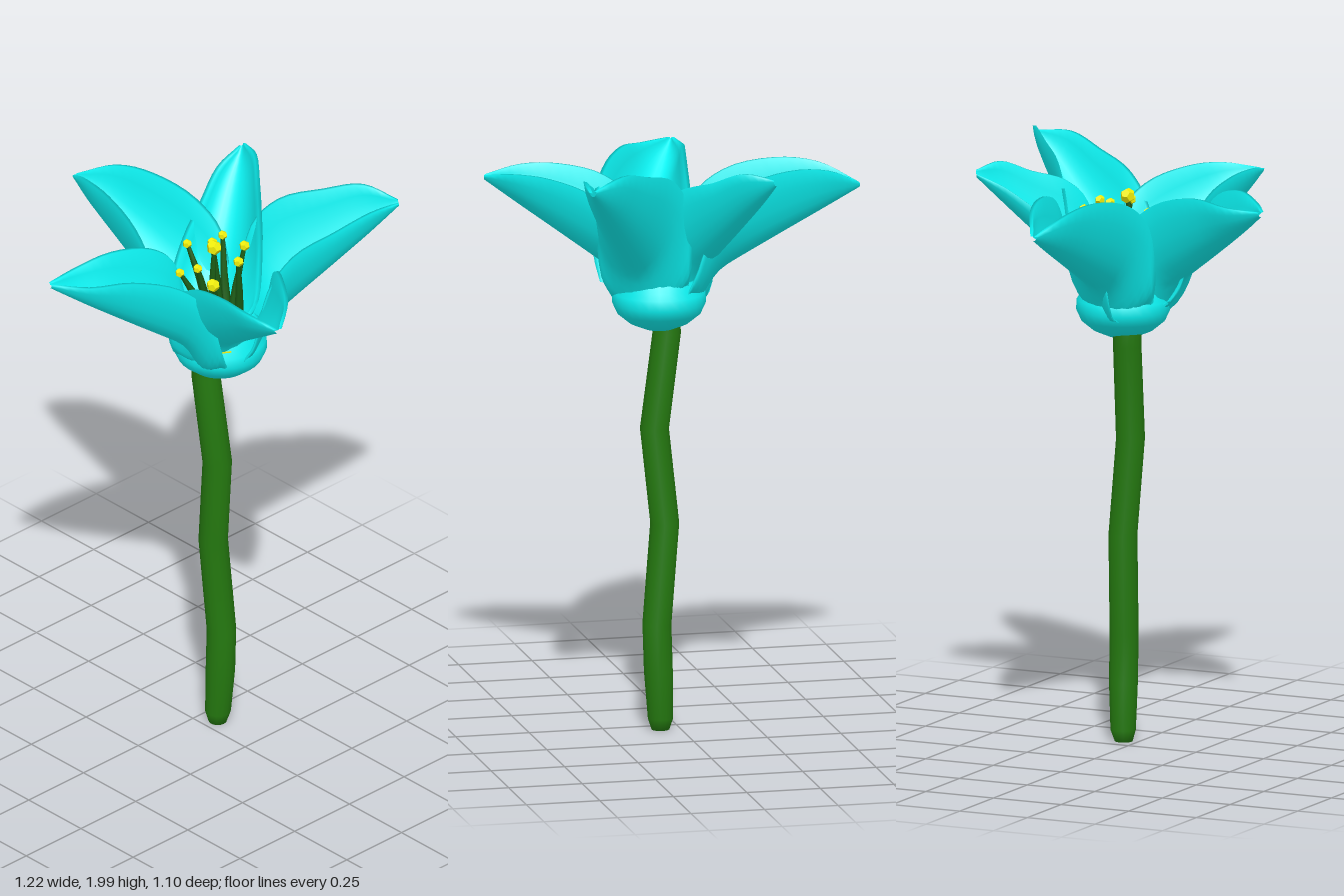
import * as THREE from 'three';

const paint = (color) => new THREE.MeshStandardMaterial({ color });
const cyan = paint(0x0cf2f2);
const green = paint(0x24780f);
const darkGreen = paint(0x1a5a14);
const yellow = paint(0xf0ee08);

// Skin a list of closed rings, each holding the same number of points
function loft(rings) {
  const n = rings[0].length;
  const index = [];
  for (let i = 0; i < rings.length - 1; i++) {
    for (let j = 0; j < n; j++) {
      const a = i * n + j, b = i * n + (j + 1) % n;
      index.push(a, a + n, b, b, a + n, b + n);
    }
  }
  const g = new THREE.BufferGeometry().setFromPoints(rings.flat());
  g.setIndex(index);
  g.computeVertexNormals();
  return g;
}

function circle(x, y, z, r, sides = 14) {
  return Array.from({ length: sides }, (_, i) => {
    const a = i / sides * Math.PI * 2;
    return new THREE.Vector3(x + r * Math.cos(a), y, z + r * Math.sin(a));
  });
}

// Trough-shaped petal: keel from base to tip, dipping into the cup, with high side edges.
// droop lowers the inner part of the edges, width scales the petal sideways,
// roll lowers one edge and raises the other, bow bends the petal sideways.
function petalGeometry({ base, tip, top, droop = 0, width = 1, roll = 0, bow = 0 }) {
  const dx = tip[0] - base[0], dz = tip[2] - base[2];
  const len = Math.hypot(dx, dz);
  const side = new THREE.Vector3(-dz / len, 0, dx / len);
  const rise = top - 1.46;
  // position along the petal, height of the edge, half width
  const keys = new THREE.CatmullRomCurve3([
    [0.07, 1.5, 0.135], [0.12, 1.46 + rise * 0.3 - droop, 0.16],
    [0.2, 1.46 + rise * 0.7 - droop, 0.165], [0.35, top - 0.04 - droop * 1.2, 0.145],
    [0.6, top - droop * 0.9, 0.11], [0.82, top - 0.015 + droop / 3, 0.073], [1, tip[1] + 0.015, 0.012],
  ].map((k) => new THREE.Vector3(...k)));
  const steps = 24, across = 12, spread = 1.3, thick = 0.012;
  const rings = [];
  for (let i = 0; i <= steps; i++) {
    const k = keys.getPoint(i / steps);
    const dip = 0.065 * Math.exp(-(((k.x - 0.15) / 0.075) ** 2));
    const keel = THREE.MathUtils.lerp(base[1], tip[1], k.x) - dip;
    const h = Math.max(k.y - keel, 0.01);
    const shift = bow * Math.sin(k.x * Math.PI);
    const at = (u, t) => {
      const a = u * spread;
      const p = new THREE.Vector3(base[0] + dx * k.x, keel, base[2] + dz * k.x);
      p.addScaledVector(side, shift + Math.max(k.z * width - t, 0.003) * Math.sin(a) / Math.sin(spread));
      p.y += t + (h - t) * (1 - Math.cos(a)) / (1 - Math.cos(spread)) - roll * u * k.z / 0.1;
      return p;
    };
    const ring = [];
    for (let j = 0; j <= across; j++) ring.push(at(j / across * 2 - 1, 0));
    for (let j = across; j >= 0; j--) ring.push(at(j / across * 2 - 1, thick));
    rings.push(ring);
  }
  return loft(rings);
}

export function createModel() {
  const flower = new THREE.Group();
  flower.name = 'flower';
  const add = (name, geometry, material, parent = flower) => {
    const m = new THREE.Mesh(geometry, material);
    m.name = name;
    parent.add(m);
    return m;
  };

  // Crooked stem
  add('stem', loft([
    [0.066, 0, -0.05, 0], [0.066, 0, -0.05, 0.03], [0.066, 0.04, -0.052, 0.043], [0.074, 0.2, -0.055, 0.049],
    [0.079, 0.36, -0.055, 0.049], [0.05, 0.7, -0.045, 0.049], [0.082, 1.02, -0.033, 0.049],
    [0.038, 1.34, -0.023, 0.048], [0.04, 1.42, -0.023, 0.048],
  ].map((r) => circle(...r))), green);

  // Rounded cup under the petals, with a thin collar inside them
  const cup = add('cup', new THREE.LatheGeometry([
    [0, 1.36], [0.05, 1.366], [0.1, 1.387], [0.14, 1.42], [0.156, 1.455],
    [0.154, 1.49], [0.14, 1.51], [0.136, 1.54], [0.128, 1.54], [0.12, 1.515], [0, 1.515],
  ].map((p) => new THREE.Vector2(...p)), 28), cyan);
  cup.position.set(0.072, 0, -0.055);

  // Yellow centre
  const disc = add('flowerCentre', new THREE.SphereGeometry(0.13, 28, 14), yellow);
  disc.scale.y = 0.5;
  disc.position.set(0.078, 1.51, -0.045);

  // Five petals
  const petals = new THREE.Group();
  petals.name = 'petals';
  flower.add(petals);
  [
    { base: [0.05, 1.46, -0.045], tip: [-0.612, 1.805, -0.045], top: 1.895 },
    { base: [0.13, 1.45, -0.02], tip: [-0.112, 1.85, 0.545], top: 1.885, bow: -0.02 },
    { base: [0.06, 1.45, -0.02], tip: [0.607, 1.843, 0.19], top: 1.89, droop: 0.015, width: 1.1 },
    { base: [0.09, 1.45, -0.06], tip: [0.413, 1.942, -0.545], top: 1.98, droop: 0.04, roll: 0.02 },
    { base: [0.045, 1.45, -0.04], tip: [-0.232, 1.92, -0.447], top: 1.92, droop: 0.06, width: 0.93, roll: -0.045 },
  ].forEach((p, i) => add('petal' + (i + 1), petalGeometry(p), cyan, petals));

  // Stamens: foot x, z, then tip x, y, z and tip radius
  const stamens = new THREE.Group();
  stamens.name = 'stamens';
  flower.add(stamens);
  [
    [0.05, -0.11, -0.02, 1.8, -0.155, 0.016], [0.085, -0.09, 0.09, 1.81, -0.15, 0.018],
    [0.03, -0.06, -0.085, 1.78, -0.055, 0.016], [0.04, -0.09, 0.015, 1.82, -0.075, 0.018],
    [0.12, -0.095, 0.15, 1.81, -0.065, 0.018], [0.075, -0.01, 0.065, 1.84, -0.035, 0.026],
    [0.04, -0.005, -0.015, 1.74, 0.045, 0.016], [0.07, -0.01, 0.065, 1.79, 0.04, 0.016],
    [0.11, -0.01, 0.165, 1.78, 0.065, 0.023],
  ].forEach(([fx, fz, x, y, z, r], i) => {
    add('filament' + (i + 1), loft([
      circle(fx, 1.53, fz, 0.018, 6),
      circle((fx + x) / 2, 1.67, fz * 0.6 + z * 0.4, 0.013, 6),
      circle(x, y, z, 0.007, 6),
    ]), darkGreen, stamens);
    const anther = add('anther' + (i + 1), new THREE.DodecahedronGeometry(r, 0), yellow, stamens);
    anther.position.set(x, y, z);
  });

  return flower;
}
